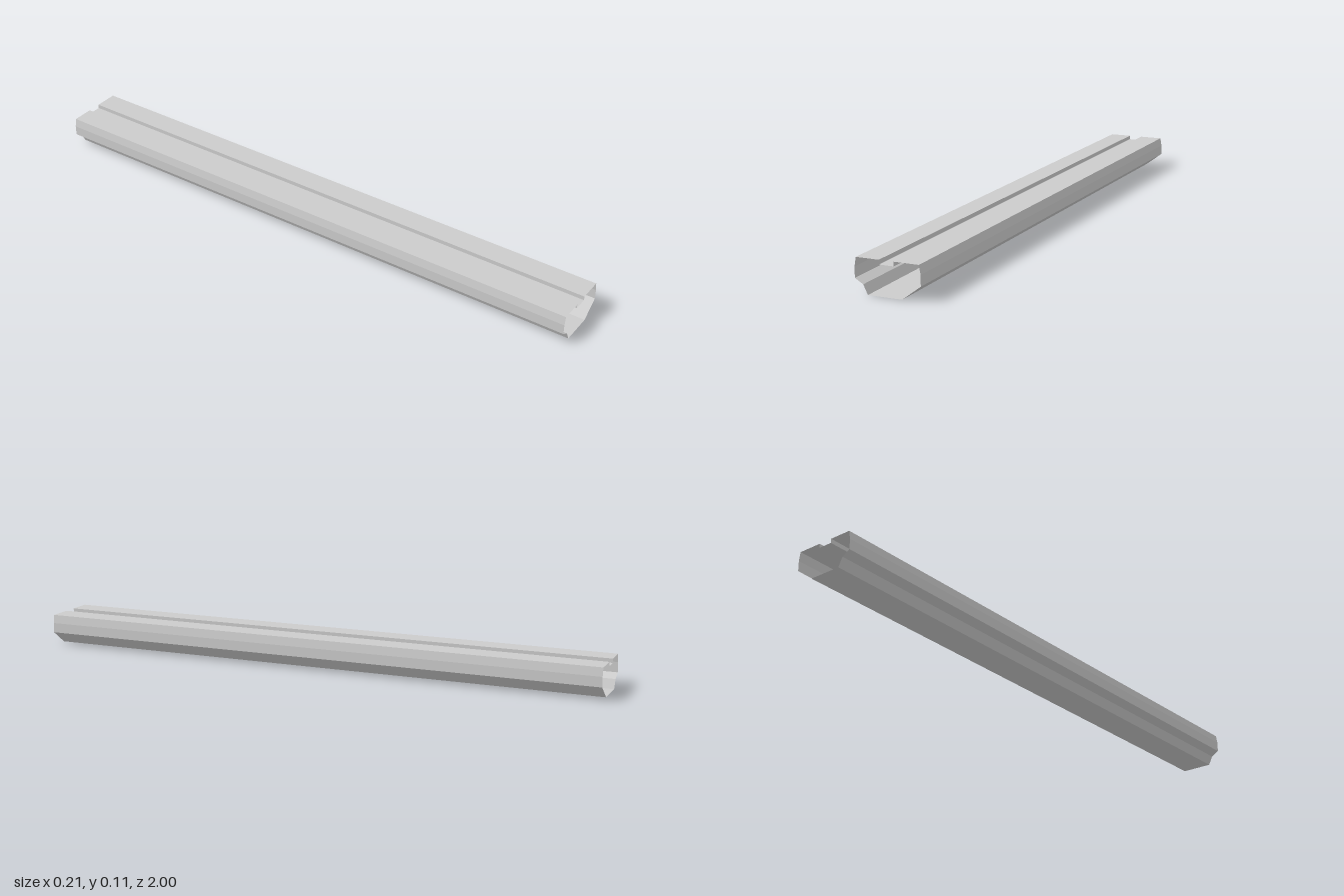
import * as THREE from 'three';

// Cross-section of the rail, running round the shell (x, y)
const PROFILE = [
  [-0.027, 0.095], [0.021, 0.095], [0.021, 0.109],   // groove floor and right wall
  [0.102, 0.109], [0.107, 0.08], [0.107, 0.046],     // top and left side
  [0.046, 0], [-0.065, 0],                           // chamfer and base
  [-0.08, 0.03], [-0.107, 0.046], [-0.107, 0.08],    // stepped chamfer and side
  [-0.102, 0.109], [-0.027, 0.109],                  // top, back to the groove
];

// Thin open-ended shell: one flat strip per profile edge
function shellGeometry(profile, halfLength) {
  const positions = [];
  profile.forEach(([x0, y0], i) => {
    const [x1, y1] = profile[(i + 1) % profile.length];
    const a = [x0, y0, halfLength], b = [x1, y1, halfLength];
    const c = [x1, y1, -halfLength], d = [x0, y0, -halfLength];
    positions.push(...a, ...b, ...c, ...a, ...c, ...d);
  });
  const geometry = new THREE.BufferGeometry();
  geometry.setAttribute('position', new THREE.Float32BufferAttribute(positions, 3));
  geometry.computeVertexNormals();
  return geometry;
}

export function createModel() {
  const group = new THREE.Group();
  group.name = 'groovedRail';
  const material = new THREE.MeshStandardMaterial({
    color: 0xcccccc, flatShading: true, side: THREE.DoubleSide,
  });
  const shell = new THREE.Mesh(shellGeometry(PROFILE, 1), material);
  shell.name = 'railShell';
  group.add(shell);
  return group;
}
